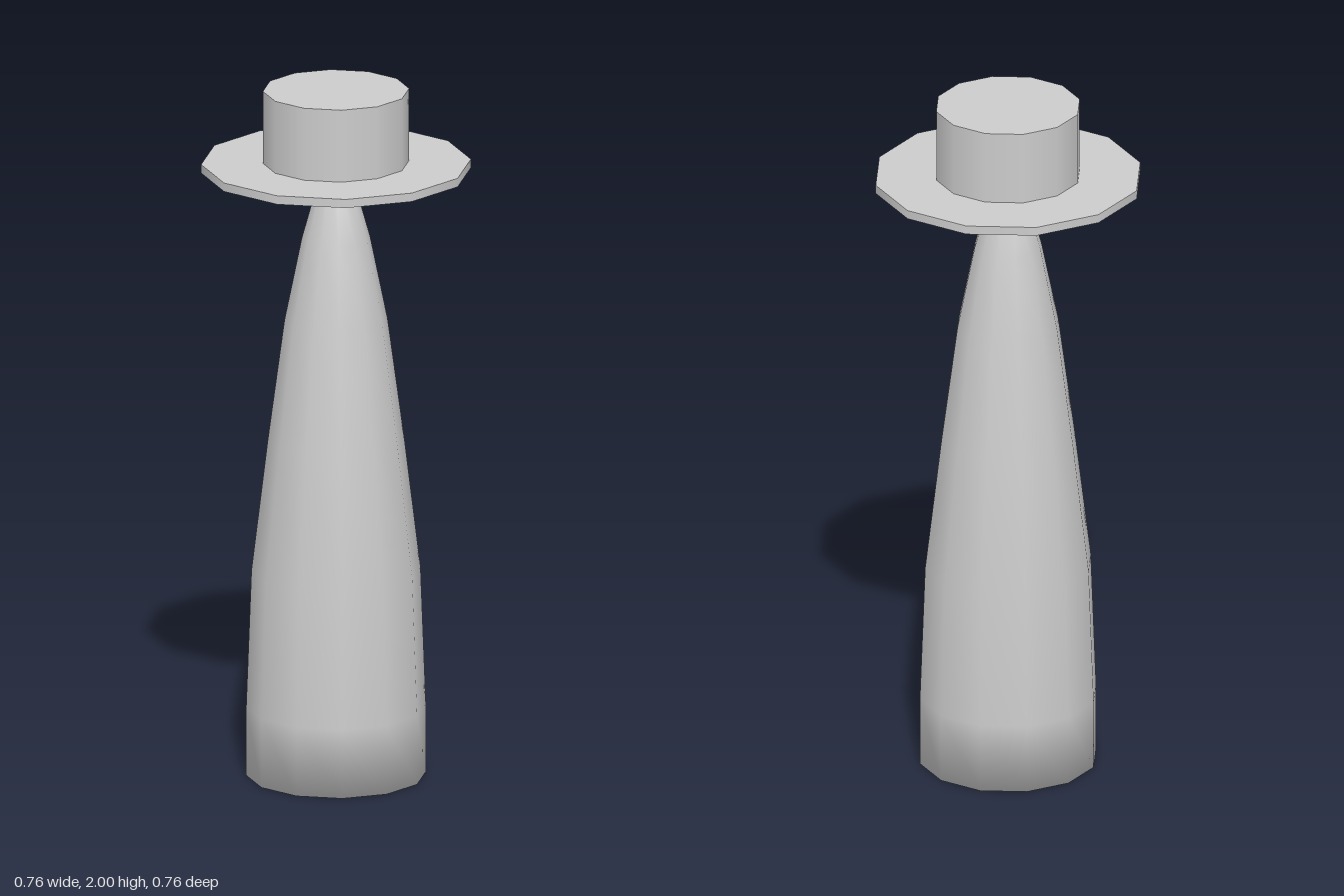
import * as THREE from 'three';

const SIDES = 12;

export function createModel() {
  const model = new THREE.Group();
  const material = new THREE.MeshStandardMaterial({ color: 0xcccccc });
  const add = (name, geometry, y = 0) => {
    const mesh = new THREE.Mesh(geometry, material);
    mesh.name = name;
    mesh.position.y = y;
    model.add(mesh);
  };

  // Tapered body, smooth all the way round onto its closed base
  const profile = [
    [0, 0], [0.253, 0], [0.253, 0.2], [0.238, 0.6], [0.192, 0.98],
    [0.145, 1.33], [0.096, 1.57], [0.04, 1.77], [0, 1.78],
  ].map(([r, y]) => new THREE.Vector2(r, y));
  add('body', new THREE.LatheGeometry(profile, SIDES));

  // Hat: thin wide brim and a straight crown
  const disc = (radius, height) => new THREE.CylinderGeometry(radius, radius, height, SIDES);
  add('hatBrim', disc(0.38, 0.025), 1.777);
  add('hatCrown', disc(0.206, 0.215), 1.8925);

  return model;
}
